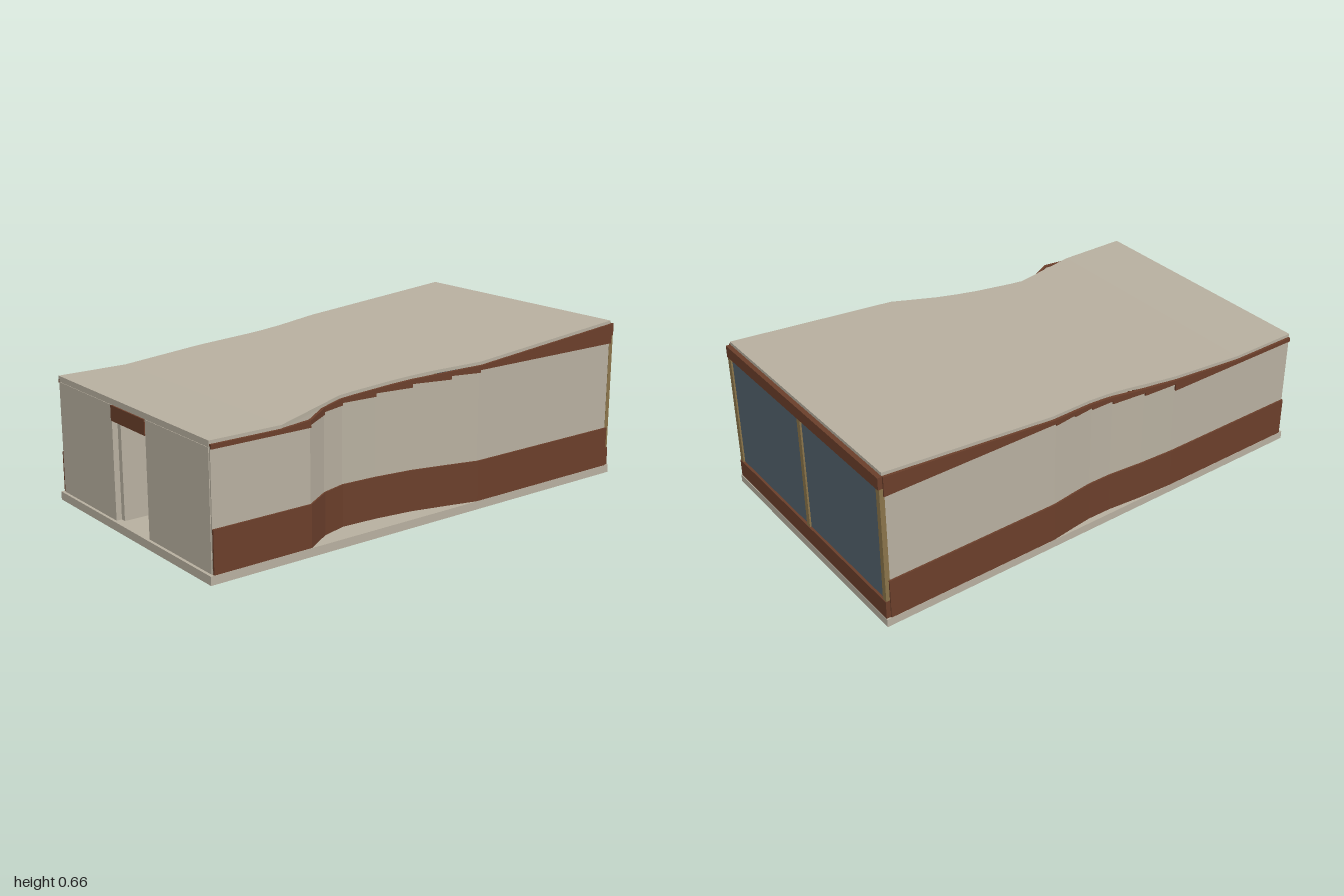
import * as THREE from 'three';

const cream = new THREE.MeshStandardMaterial({ color: 0xb8b0a0 });
cream.name = 'cream plaster';
const brown = new THREE.MeshStandardMaterial({ color: 0x6b3f2b });
brown.name = 'brown timber';
const glass = new THREE.MeshStandardMaterial({ color: 0x53626c });
glass.name = 'blue grey glass';
const gold = new THREE.MeshStandardMaterial({ color: 0x8a744a });
gold.name = 'golden window frame';

// Height of the roof surface: flat at the front, rising to the back
const roofY = (z) => 0.515 + Math.max(0, 0.69 - z) * 0.0874;

// Plan curves as [z, distance from centre line], front to back
const leftPlan = [[0.985, 0.55], [0.69, 0.55], [0.57, 0.55], [0.455, 0.478], [0.35, 0.449], [0.2, 0.457],
  [0.04, 0.478], [-0.12, 0.518], [-0.24, 0.55], [-0.98, 0.55]];
const rightPlan = [[0.985, 0.55], [0.69, 0.55], [0.35, 0.55], [0.2, 0.542], [0.05, 0.528], [-0.05, 0.527],
  [-0.14, 0.537], [-0.24, 0.55], [-0.98, 0.55]];
const roofStations = [[0.988, -0.545, 0.545], [0.69, -0.545, 0.545], [0.36, -0.545, 0.445],
  [0.3, -0.541, 0.446], [0.12, -0.523, 0.459], [0.03, -0.519, 0.472], [-0.06, -0.522, 0.49],
  [-0.25, -0.545, 0.545], [-0.98, -0.545, 0.545]];

// Closed flat-sided solid through a row of four-cornered sections
// (each section runs counter-clockwise as seen from the front)
function loft(sections) {
  const pos = [];
  const quad = (a, b, c, d) => pos.push(...a, ...b, ...c, ...a, ...c, ...d);
  for (let i = 0; i < sections.length - 1; i++) {
    const f = sections[i], r = sections[i + 1];
    for (let k = 0; k < 4; k++) {
      const n = (k + 1) % 4;
      quad(f[k], r[k], r[n], f[n]);
    }
  }
  const first = sections[0], last = sections[sections.length - 1];
  quad(...first);
  quad(last[3], last[2], last[1], last[0]);
  const g = new THREE.BufferGeometry();
  g.setAttribute('position', new THREE.Float32BufferAttribute(pos, 3));
  g.computeVertexNormals();
  return g;
}

const section = (xa, xb, y0, y1, z) => {
  const lo = Math.min(xa, xb), hi = Math.max(xa, xb);
  return [[lo, y0, z], [hi, y0, z], [hi, y1, z], [lo, y1, z]];
};

function add(parent, name, geometry, material) {
  const m = new THREE.Mesh(geometry, material);
  m.name = name;
  parent.add(m);
  return m;
}

function box(parent, name, material, x0, x1, y0, y1, z0, z1) {
  const m = add(parent, name, new THREE.BoxGeometry(x1 - x0, y1 - y0, z1 - z0), material);
  m.position.set((x0 + x1) / 2, (y0 + y1) / 2, (z0 + z1) / 2);
  return m;
}

// One wavy side wall: cream panel, lower brown band, stepped upper brown band
function sideWall(name, plan, side) {
  const g = new THREE.Group();
  g.name = name;
  const strip = (pts, out, thick, low, high) => loft(pts.map(([z, x]) =>
    section(side * (x + out), side * (x + out - thick), low, high(z), z)));
  add(g, 'sidePanel', strip(plan, -0.002, 0.008, 0.033, (z) => roofY(z) - 0.02), cream);
  add(g, 'lowerBand', strip(plan, 0.005, 0.013, 0.033, () => 0.2), brown);
  for (let i = 0; i < plan.length - 1; i++) {
    const low = roofY(plan[i][0]) - 0.03;
    add(g, 'upperBand', strip([plan[i], plan[i + 1]], 0.005, 0.013, low, (z) => roofY(z) - 0.013), brown);
  }
  return g;
}

// Small round table standing inside the entrance
function table() {
  const g = new THREE.Group();
  g.name = 'table';
  const top = add(g, 'tableTop', new THREE.CylinderGeometry(0.077, 0.077, 0.008, 24), brown);
  top.position.y = 0.136;
  for (const x of [-1, 1]) {
    for (const z of [-1, 1]) {
      const path = new THREE.LineCurve3(new THREE.Vector3(x * 0.04, 0.033, z * 0.04),
        new THREE.Vector3(x * 0.044, 0.133, z * 0.044));
      add(g, 'tableLeg', new THREE.TubeGeometry(path, 1, 0.004, 8), brown);
    }
    box(g, 'sideStretcher', brown, x * 0.041 - 0.003, x * 0.041 + 0.003, 0.055, 0.061, -0.04, 0.04);
    box(g, 'crossStretcher', brown, -0.04, 0.04, 0.068, 0.074, x * 0.041 - 0.003, x * 0.041 + 0.003);
  }
  g.position.set(0, 0, 0.69);
  return g;
}

export function createModel() {
  const model = new THREE.Group();
  model.name = 'pavilion';

  // Floor slab and sloping roof
  box(model, 'floorSlab', cream, -0.556, 0.556, 0, 0.034, -1, 1);
  add(model, 'roof', loft(roofStations.map(([z, a, b]) =>
    section(a, b, roofY(z) - 0.013, roofY(z), z))), cream);

  // Curved side walls
  model.add(sideWall('leftWall', leftPlan, 1), sideWall('rightWall', rightPlan, -1));

  // Front wall with doorway
  for (const s of [-1, 1]) {
    box(model, 'frontPanel', cream, Math.min(s * 0.123, s * 0.542), Math.max(s * 0.123, s * 0.542),
      0.033, 0.49, 0.965, 0.988);
  }
  box(model, 'frontFascia', cream, -0.542, 0.542, 0.49, 0.503, 0.965, 0.986);
  box(model, 'doorLintel', brown, -0.123, 0.123, 0.43, 0.49, 0.967, 0.992);

  // Partition running back from the doorway, with brown edge trim
  box(model, 'partition', cream, -0.123, -0.1, 0.033, 0.43, 0.55, 0.965);
  box(model, 'partitionTrim', brown, -0.1, -0.09, 0.033, 0.42, 0.55, 0.562);
  model.add(table());

  // Glazed back wall
  box(model, 'backSill', brown, -0.55, 0.55, 0.033, 0.11, -0.998, -0.978);
  box(model, 'backHeader', brown, -0.548, 0.548, 0.597, 0.647, -0.998, -0.978);
  for (const s of [-1, 1]) {
    const mid = s * 0.27;
    box(model, 'backWindow', glass, mid - 0.262, mid + 0.262, 0.11, 0.597, -0.988, -0.982);
  }
  for (const x of [-0.538, 0, 0.538]) {
    box(model, 'windowPost', gold, x - 0.011, x + 0.011, 0.11, 0.597, -0.995, -0.975);
  }
  return model;
}
